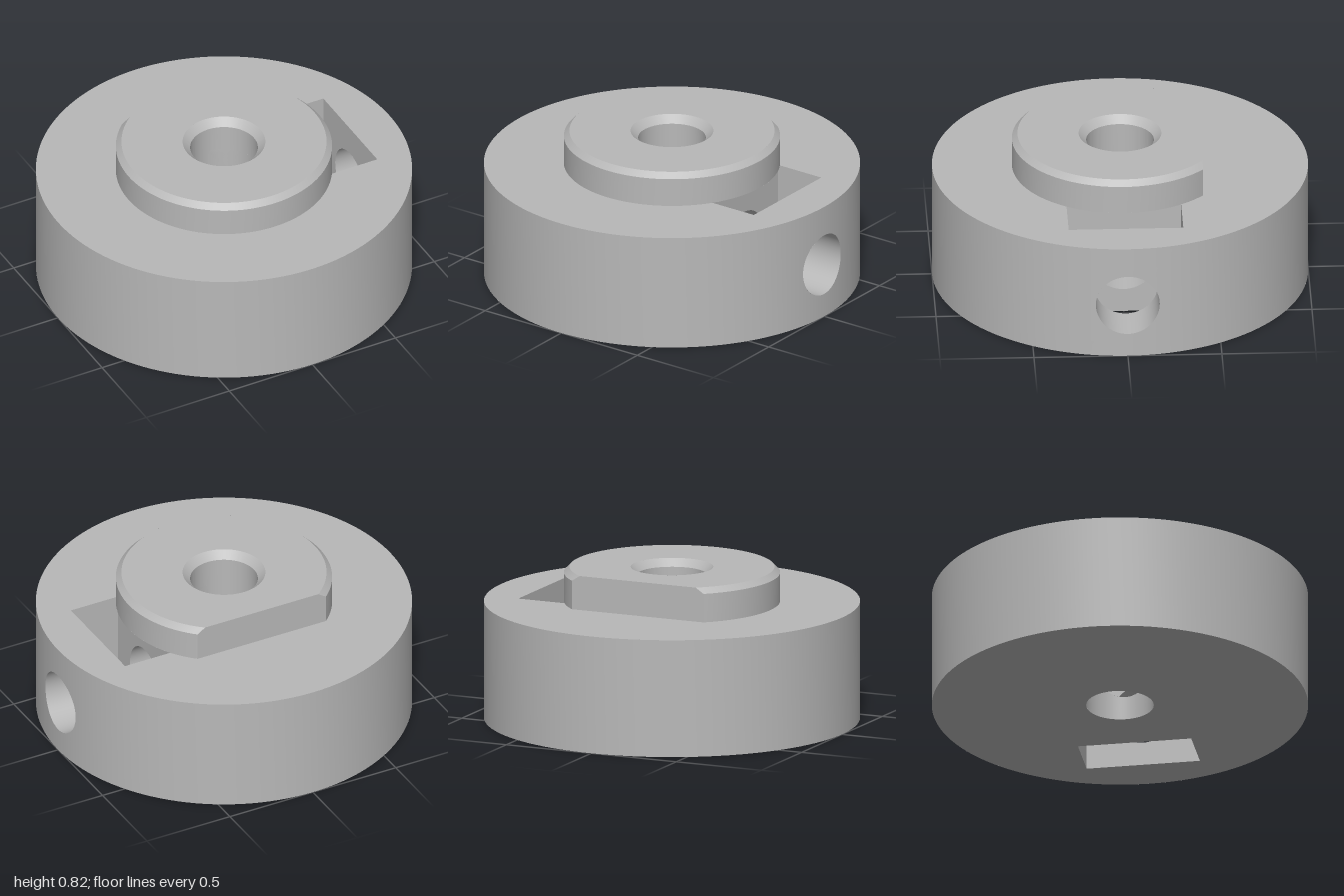
import * as THREE from 'three';
import { mergeGeometries, toCreasedNormals } from 'three/addons/utils/BufferGeometryUtils.js';

const H = 0.635, TOP = 0.82;                  // disc height, boss top
const BORE = 0.18, SINK = 0.22;               // bore and countersink radii
const BOSS = 0.575, CHAMFER = 0.03, FLAT = 0.425;
const SX0 = 0.475, SX1 = 0.76, SZ = 0.305;    // slot extents
const HR = 0.17, HY = 0.3;                    // radial hole radius and height
const V = (x, y) => new THREE.Vector2(x, y);

// Grid surface from a rule point(u, v); it faces along du x dv
function grid(nu, nv, point, flip = false) {
  const pos = [], index = [];
  for (let j = 0; j <= nv; j++)
    for (let i = 0; i <= nu; i++) pos.push(...point(i / nu, j / nv));
  for (let j = 0; j < nv; j++)
    for (let i = 0; i < nu; i++) {
      const a = j * (nu + 1) + i, b = a + 1, c = a + nu + 1, d = c + 1;
      index.push(...(flip ? [a, d, b, a, c, d] : [a, b, d, a, d, c]));
    }
  const g = new THREE.BufferGeometry();
  g.setAttribute('position', new THREE.Float32BufferAttribute(pos, 3));
  g.setIndex(index);
  return g;
}

// Wall panel pierced by the radial hole: cylinder of radius r, or flat at x
function piercedWall({ r, x, half }, flip) {
  const scale = r ?? 1, n = 28;
  const corners = [[-1, 0], [1, 0], [1, H], [-1, H], [-1, 0]];
  return grid(4 * n, 8, (u, v) => {
    const k = Math.min(3, Math.floor(u * 4 + 1e-9)), f = u * 4 - k;
    const [a, b] = [corners[k], corners[k + 1]];
    const s1 = half * (a[0] + (b[0] - a[0]) * f), y1 = a[1] + (b[1] - a[1]) * f;
    const phi = Math.atan2(y1 - HY, s1 * scale);
    const z0 = HR * Math.cos(phi), y0 = HY + HR * Math.sin(phi);
    const s0 = r ? Math.asin(z0 / r) : z0;
    const s = s0 + (s1 - s0) * v, y = y0 + (y1 - y0) * v;
    return r ? [r * Math.cos(s), y, r * Math.sin(s)] : [x, y, s];
  }, flip);
}

// Inside wall of the radial hole between two x rules
const holeWall = (xIn, xOut) => grid(64, 1, (u, v) => {
  const p = u * Math.PI * 2, z = HR * Math.cos(p);
  return [xIn(z) + (xOut(z) - xIn(z)) * v, HY + HR * Math.sin(p), z];
});

const onCylinder = r => z => Math.sqrt(r * r - z * z);
const circle = (T, r) => new T().absarc(0, 0, r, 0, Math.PI * 2, false);
const faceUp = (shape, y) => new THREE.ShapeGeometry(shape, 64).rotateX(-Math.PI / 2).translate(0, y, 0);
const faceDown = (shape, y) => new THREE.ShapeGeometry(shape, 64).rotateX(Math.PI / 2).translate(0, y, 0);

// Boss outline with its flat, joined to the slot when requested
function bossOutline(T, r, withSlot) {
  const end = Math.asin(FLAT / r), p = new T();
  const slot = Math.asin(SZ / r);
  if (!withSlot) return p.absarc(0, 0, r, Math.PI - end, Math.PI * 2 + end, false);
  p.absarc(0, 0, r, Math.PI - end, Math.PI * 2 - slot, false);
  p.lineTo(SX1, -SZ);
  p.lineTo(SX1, SZ);
  return p.absarc(0, 0, r, slot, end, false);
}

// Boss side band between two rings, ending at the flat
const bossBand = (r0, y0, r1, y1) => grid(96, 1, (u, v) => {
  const r = v ? r1 : r0, t = (u * 2 - 1) * Math.acos(-FLAT / r);
  return [r * Math.sin(t), v ? y1 : y0, r * Math.cos(t)];
});

export function createModel() {
  const group = new THREE.Group();
  const grey = new THREE.MeshStandardMaterial({ color: 0xb8b8b8, side: THREE.DoubleSide });
  grey.name = 'grey metal';

  const add = (name, parts) => {
    const plain = parts.map(g => {
      const p = g.index ? g.toNonIndexed() : g;
      p.deleteAttribute('uv');
      p.deleteAttribute('normal');
      return p;
    });
    const merged = mergeGeometries(plain);
    merged.computeVertexNormals();
    const mesh = new THREE.Mesh(toCreasedNormals(merged, Math.PI / 6), grey);
    mesh.name = name;
    group.add(mesh);
  };

  // Disc: rim, top and underside
  const top = circle(THREE.Shape, 1);
  top.holes.push(bossOutline(THREE.Path, BOSS, true));
  const bottom = circle(THREE.Shape, 1);
  bottom.holes.push(circle(THREE.Path, BORE),
    new THREE.Path([V(SX0, -SZ), V(SX1, -SZ), V(SX1, SZ), V(SX0, SZ)]));
  add('disc', [
    new THREE.LatheGeometry([V(1, 0), V(1, H)], 120, Math.PI / 2 + 0.25, Math.PI * 2 - 0.5),
    piercedWall({ r: 1, half: 0.25 }),
    faceUp(top, H),
    faceDown(bottom, 0),
  ]);

  // Slot: four walls and the overhang beneath the boss
  const a = Math.asin(SZ / BOSS), overhang = new THREE.Shape();
  overhang.moveTo(SX0, -SZ);
  overhang.absarc(0, 0, BOSS, -a, a, false);
  overhang.lineTo(SX0, SZ);
  const side = () => new THREE.PlaneGeometry(SX1 - SX0, H);
  const mid = (SX0 + SX1) / 2;
  add('slot', [
    piercedWall({ x: SX0, half: SZ }),
    piercedWall({ x: SX1, half: SZ }, true),
    side().translate(mid, H / 2, -SZ),
    side().rotateY(Math.PI).translate(mid, H / 2, SZ),
    faceDown(overhang, H),
  ]);

  // Radial screw hole, interrupted by the slot
  add('radialHole', [
    holeWall(() => SX1, onCylinder(1)),
    holeWall(onCylinder(BORE), () => SX0),
  ]);

  // Centre bore with countersink
  add('bore', [
    new THREE.LatheGeometry([V(BORE, H), V(BORE, 0)], 48, Math.PI, Math.PI),
    piercedWall({ r: BORE, half: Math.PI / 2 }, true),
    new THREE.LatheGeometry([V(SINK, TOP), V(BORE, TOP - 0.04), V(BORE, H)], 96),
  ]);

  // Boss with chamfered rim and a flat at the back
  const inner = BOSS - CHAMFER, shoulder = TOP - CHAMFER;
  const w0 = onCylinder(BOSS)(FLAT), w1 = onCylinder(inner)(FLAT);
  const flat = new THREE.Shape([V(-w0, H), V(w0, H), V(w0, shoulder), V(w1, TOP), V(-w1, TOP), V(-w0, shoulder)]);
  const cap = bossOutline(THREE.Shape, inner, false);
  cap.holes.push(circle(THREE.Path, SINK));
  add('boss', [
    bossBand(BOSS, H, BOSS, shoulder),
    bossBand(BOSS, shoulder, inner, TOP),
    new THREE.ShapeGeometry(flat).rotateY(Math.PI).translate(0, 0, -FLAT),
    faceUp(cap, TOP),
  ]);
  return group;
}
